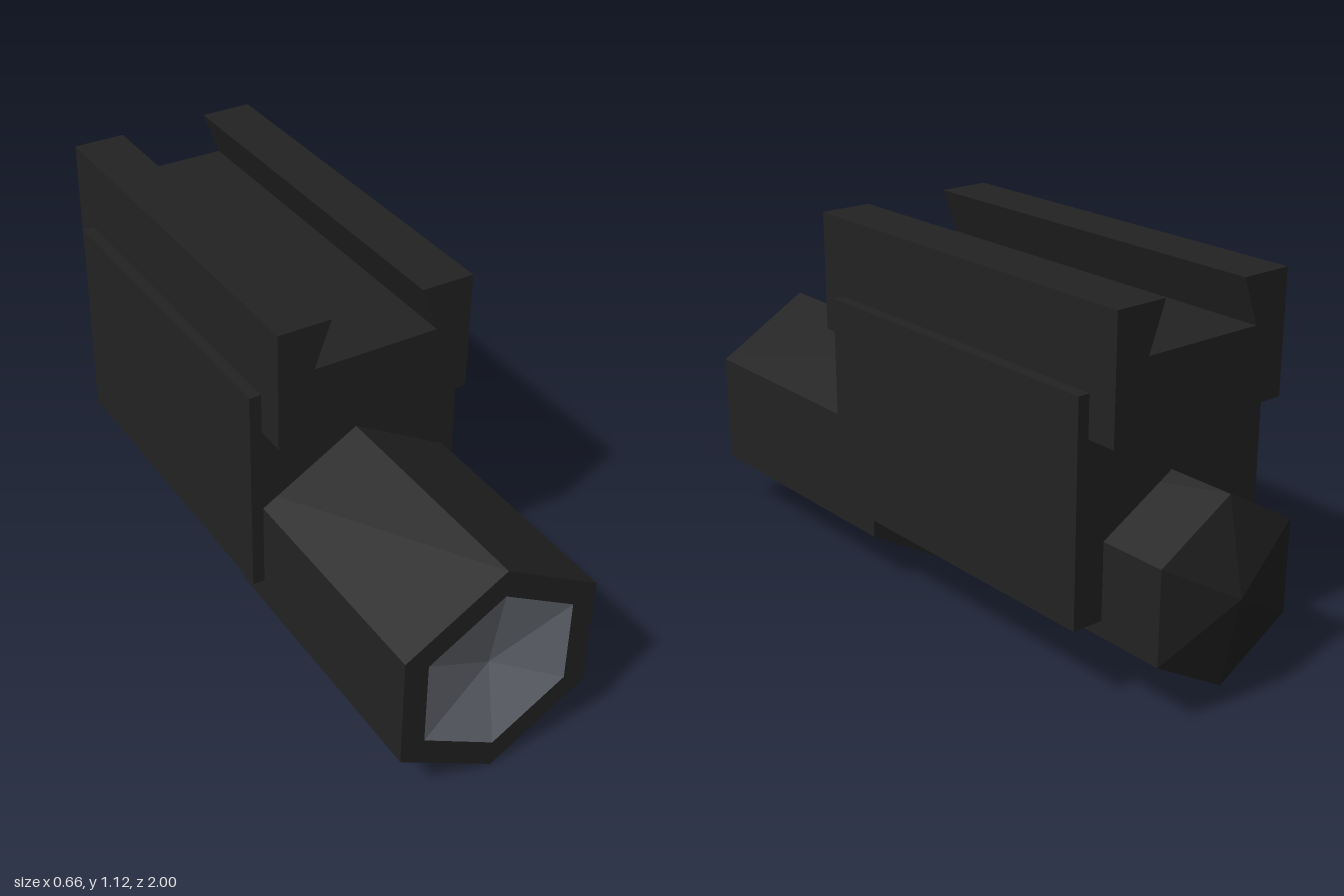
import * as THREE from 'three';

const black = new THREE.MeshStandardMaterial({ color: 0x232323 });
black.name = 'matteBlack';
const glass = new THREE.MeshStandardMaterial({ color: 0x6d7179 });
glass.name = 'greyLens';

const AXIS_Y = 0.343; // height of the lamp's axis

export function createModel() {
  const group = new THREE.Group();

  const add = (name, geometry, material, x = 0, y = 0, z = 0) => {
    const mesh = new THREE.Mesh(geometry, material);
    mesh.name = name;
    mesh.position.set(x, y, z);
    group.add(mesh);
  };

  // Six-sided faceted part along z, from [radius, z] pairs ordered back to front
  const hex = (name, profile, material) => {
    const points = profile.map(([r, z]) => new THREE.Vector2(r, z));
    const geometry = new THREE.LatheGeometry(points, 6).toNonIndexed();
    geometry.computeVertexNormals();
    geometry.rotateX(Math.PI / 2);
    add(name, geometry, material, 0, AXIS_Y, 0);
  };

  // Lamp: head with open front rim, recessed lens, tail with pointed cap
  hex('lampHead', [[0, 0.18], [0.34, 0.18], [0.34, 1], [0.258, 1]], black);
  hex('lens', [[0.258, 1], [0, 0.955]], glass);
  hex('lampTail', [[0, -1], [0.271, -0.945], [0.271, 0.2]], black);

  // Mount body
  add('mountBody', new THREE.BoxGeometry(0.66, 0.635, 1.04), black, 0, 0.5725, -0.22);

  // Rail clamp with dovetail groove
  const outline = [
    [-0.295, 0.77], [0.295, 0.77], [0.295, 1.12], [0.138, 1.12],
    [0.188, 0.985], [-0.188, 0.985], [-0.138, 1.12], [-0.295, 1.12],
  ];
  const shape = new THREE.Shape(outline.map(([x, y]) => new THREE.Vector2(x, y)));
  const rail = new THREE.ExtrudeGeometry(shape, { depth: 1.22, bevelEnabled: false });
  add('railClamp', rail, black, 0, 0, -0.83);

  return group;
}
